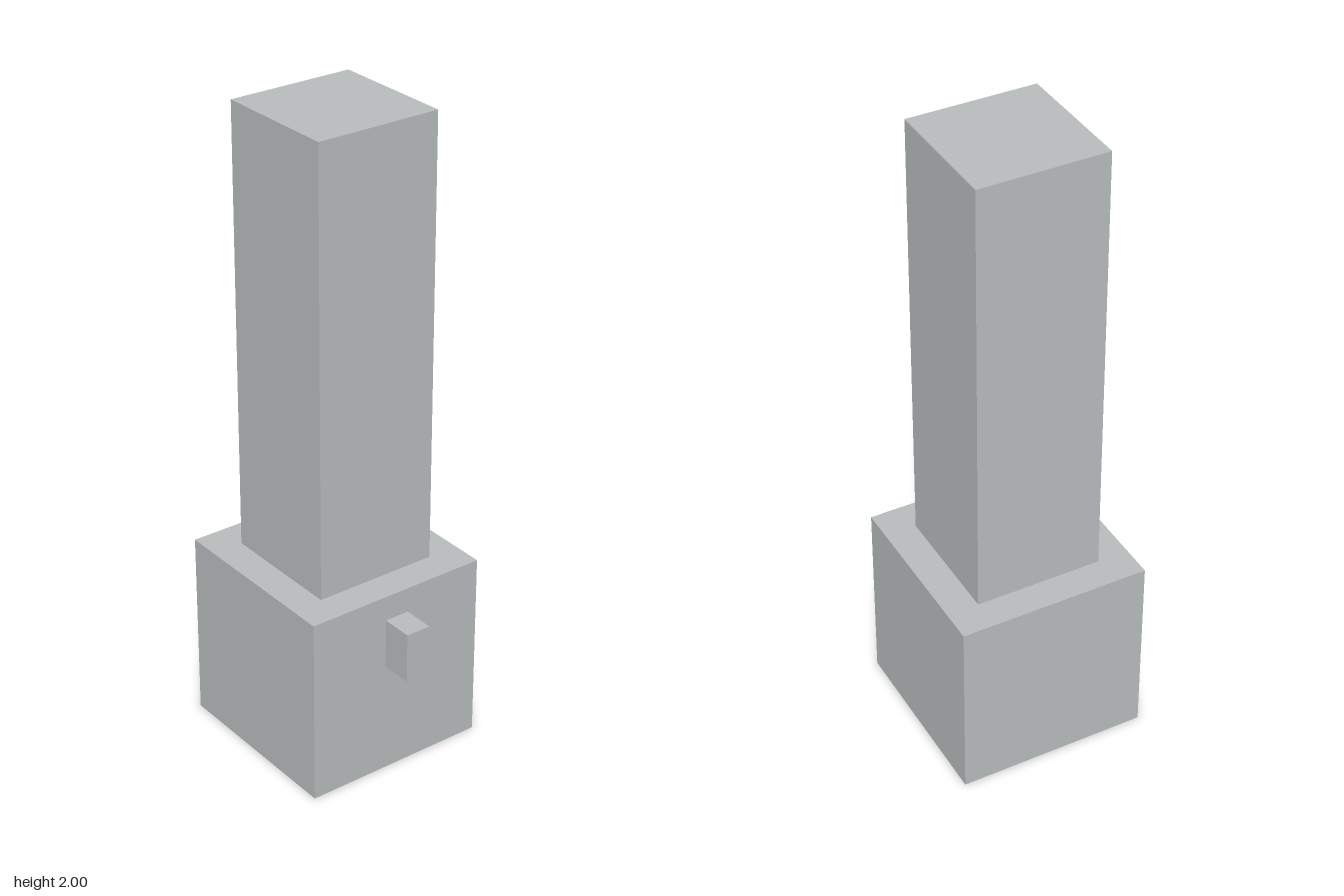
import * as THREE from 'three';

export function createModel() {
  const group = new THREE.Group();
  const gray = new THREE.MeshStandardMaterial({ color: 0xb8bcbc });
  gray.name = 'light gray';

  // Adds a box from its size, the height of its underside and its z centre
  function addBox(name, width, height, depth, bottom, z) {
    const mesh = new THREE.Mesh(new THREE.BoxGeometry(width, height, depth), gray);
    mesh.name = name;
    mesh.position.set(0, bottom + height / 2, z);
    group.add(mesh);
  }

  addBox('base', 0.6, 0.6, 0.6, 0, -0.05);
  addBox('column', 0.4, 1.4, 0.4, 0.6, -0.05);
  // Small block standing out from the front of the base
  addBox('frontKnob', 0.08, 0.16, 0.1, 0.36, 0.3);

  return group;
}
